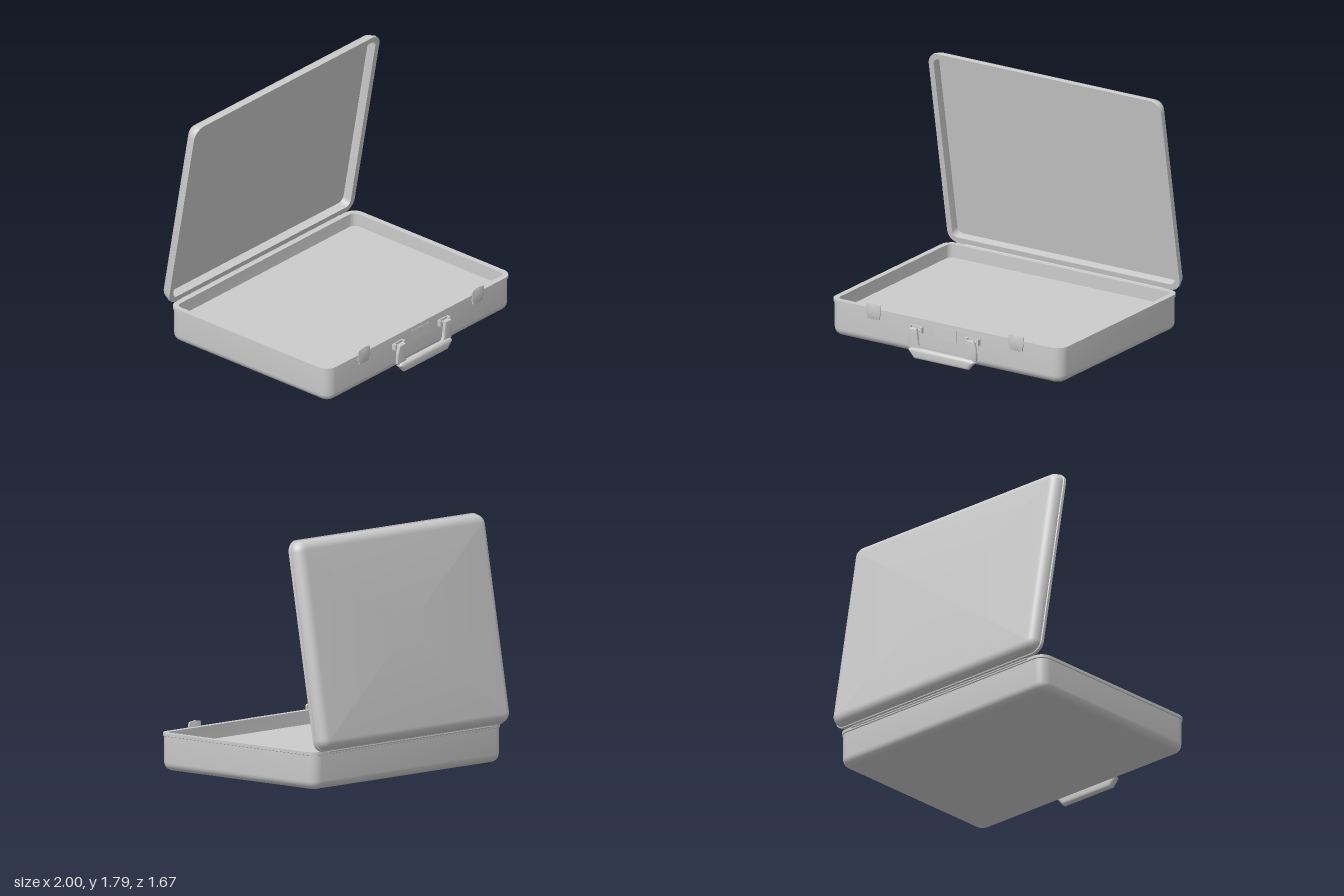
import * as THREE from 'three';
import { toCreasedNormals } from 'three/addons/utils/BufferGeometryUtils.js';

const grey = new THREE.MeshStandardMaterial({ color: 0xcccccc });

function add(parent, name, geometry, x = 0, y = 0, z = 0) {
  const mesh = new THREE.Mesh(geometry, grey);
  mesh.name = name;
  mesh.position.set(x, y, z);
  parent.add(mesh);
  return mesh;
}

// Rounded rectangle ring in the xz plane
function ring(hw, hd, r, y) {
  const pts = [], steps = 7;
  for (let c = 0; c < 4; c++) {
    const sx = c === 0 || c === 3 ? 1 : -1, sz = c < 2 ? 1 : -1;
    for (let i = 0; i <= steps; i++) {
      const t = (c + i / steps) * Math.PI / 2;
      pts.push([sx * (hw - r) + r * Math.cos(t), y, sz * (hd - r) + r * Math.sin(t)]);
    }
  }
  return pts;
}

// Open tray: rounded underside, lipped rim at y = 0, recessed inner floor
function trayGeometry(hw, hd, height, depth, fillet) {
  const corner = 0.08, lip = 0.008, wall = 0.035;
  const profile = []; // [inset, y]
  for (let i = 0; i <= 7; i++) {
    const t = i / 7 * Math.PI / 2;
    profile.push([fillet * (1 - Math.sin(t)), -height + fillet * (1 - Math.cos(t))]);
  }
  profile.push([0, -0.025], [-lip, -0.022], [-lip, 0], [wall, 0], [wall, -depth]);
  const rings = profile.map(([inset, y]) =>
    ring(hw - inset, hd - inset, Math.max(corner - inset, 0.01), y));
  const pos = [], n = rings[0].length;
  const tri = (...p) => p.forEach(v => pos.push(...v));
  const last = rings[rings.length - 1];
  for (let j = 0; j < n; j++) {
    const m = (j + 1) % n;
    tri([0, -height, 0], rings[0][j], rings[0][m]);
    for (let k = 0; k < rings.length - 1; k++) {
      const a = rings[k], b = rings[k + 1];
      tri(a[j], b[j], a[m]);
      tri(b[j], b[m], a[m]);
    }
    tri(last[j], [0, -depth, 0], last[m]);
  }
  const g = new THREE.BufferGeometry();
  g.setAttribute('position', new THREE.Float32BufferAttribute(pos, 3));
  return toCreasedNormals(g, 0.6);
}

// Extruded outline with bevelled edges, centred on z = 0; bevel lies inside the outline
function plate(points, thickness, bevel) {
  const shape = new THREE.Shape(points.map(p => new THREE.Vector2(...p)));
  const g = new THREE.ExtrudeGeometry(shape, {
    depth: thickness - 2 * bevel, bevelEnabled: bevel > 0, bevelThickness: bevel,
    bevelSize: bevel, bevelOffset: -bevel, bevelSegments: 4,
  });
  g.translate(0, 0, -thickness / 2 + bevel);
  return toCreasedNormals(g, 0.6);
}

export function createModel() {
  const model = new THREE.Group();
  model.name = 'briefcase';

  // Case halves
  add(model, 'base', trayGeometry(0.99, 0.752, 0.273, 0.1, 0.06), 0, 0.29, 0.016);
  const lid = add(model, 'lid', trayGeometry(0.99, 0.752, 0.1, 0.07, 0.07), 0, 1.038, -0.613);
  lid.rotation.x = THREE.MathUtils.degToRad(100);

  // Hinge along the back edge
  const pin = add(model, 'hinge', new THREE.CylinderGeometry(0.008, 0.008, 1.7, 10), 0, 0.285, -0.744);
  pin.rotation.z = Math.PI / 2;

  // Latches and handle brackets, mirrored
  for (const side of [-1, 1]) {
    const latch = new THREE.Group();
    latch.name = side > 0 ? 'leftLatch' : 'rightLatch';
    latch.position.set(side * 0.613, 0.21, 0.776);
    model.add(latch);
    add(latch, 'hasp', plate([
      [-0.05, 0.002], [0, -0.002], [0.05, 0.002], [0.054, 0.03], [0.063, 0.035], [0.063, 0.105],
      [0.055, 0.117], [0, 0.125], [-0.055, 0.117], [-0.063, 0.105], [-0.063, 0.035], [-0.054, 0.03],
    ], 0.012, 0.003));
    add(latch, 'latchPlate', new THREE.BoxGeometry(0.1, 0.07, 0.014), 0, 0.04, -0.006);

    const bracket = new THREE.Group();
    bracket.name = side > 0 ? 'leftBracket' : 'rightBracket';
    bracket.position.set(side * 0.243, 0.208, 0.78);
    model.add(bracket);
    for (const s of [-1, 1]) {
      add(bracket, 'bracketEar', new THREE.BoxGeometry(0.016, 0.044, 0.038), s * 0.047, 0, 0);
    }
    add(bracket, 'bracketPlate', new THREE.BoxGeometry(0.09, 0.03, 0.014), 0, 0.008, -0.009);
    const axle = add(bracket, 'bracketPin', new THREE.CylinderGeometry(0.01, 0.01, 0.11, 12), 0, 0, 0.006);
    axle.rotation.z = Math.PI / 2;
  }

  // Handle: two thin arms and a thicker grip
  const handle = new THREE.Group();
  handle.name = 'handle';
  model.add(handle);
  for (const s of [-1, 1]) {
    const outline = [[0.215, 0.225], [0.207, 0.15], [0.205, 0.1], [0.18, 0.06], [0.25, 0.03],
      [0.292, 0.08], [0.294, 0.165], [0.275, 0.225]].map(([x, y]) => [s * x, y]);
    const arm = add(handle, 'arm', plate(outline, 0.026, 0.008), 0, 0, 0.805);
    arm.rotation.x = 0.05;
    arm.position.z = 0.81 - 0.05 * 0.2;
  }
  add(handle, 'grip', plate([
    [-0.232, 0.002], [0.232, 0.002], [0.285, 0.062], [0.262, 0.08], [-0.262, 0.08], [-0.285, 0.062],
  ], 0.054, 0.022), 0, 0, 0.811);

  // Small plate between the brackets
  add(model, 'namePlate', new THREE.BoxGeometry(0.185, 0.09, 0.01), 0, 0.21, 0.767);
  return model;
}
